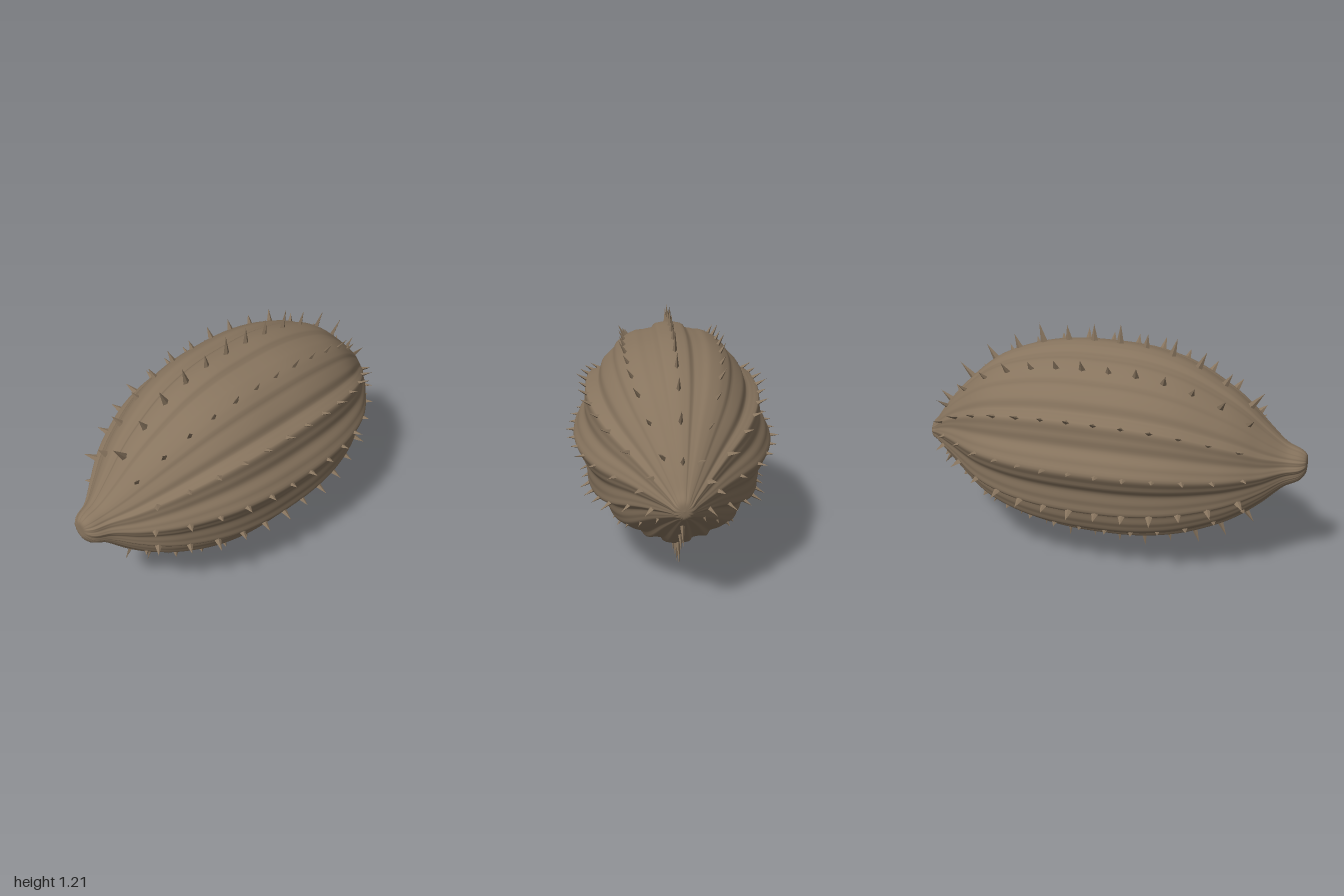
import * as THREE from 'three';

const AROUND = 240, ALONG = 90;
const { degToRad, lerp } = THREE.MathUtils;

// Long section of the pod: x, top of the rib, bottom of the rib
const section = new THREE.CatmullRomCurve3([
  [-1, 0.59, 0.59], [-0.997, 0.64, 0.545], [-0.97, 0.665, 0.505], [-0.9, 0.695, 0.465], [-0.8, 0.78, 0.37],
  [-0.7, 0.875, 0.29], [-0.6, 0.95, 0.23], [-0.4, 1.06, 0.15], [-0.2, 1.115, 0.11], [0, 1.13, 0.1],
  [0.2, 1.125, 0.107], [0.4, 1.085, 0.14], [0.6, 1.0, 0.215], [0.8, 0.825, 0.36], [0.9, 0.71, 0.435],
  [0.96, 0.625, 0.48], [0.993, 0.585, 0.5], [1, 0.54, 0.54],
].map((p) => new THREE.Vector3(...p)));

// Cross-section from the bottom rib to the top rib: degrees above the side, relative radius
const ribs = [
  [-90, 0.99], [-82, 0.98], [-78.5, 0.93], [-74, 0.935], [-69, 0.965], [-65, 0.92], [-56, 0.945], [-48, 0.96],
  [-43, 0.93], [-35, 0.885], [-31, 0.92], [-28, 0.965], [-22, 0.93], [-14, 0.9], [-7, 0.945], [0, 0.99],
  [6, 0.95], [14, 0.9], [21, 0.93], [28, 0.97], [31, 0.93], [35, 0.89], [42, 0.925], [51, 0.925],
  [55, 0.955], [61, 0.965], [68, 0.965], [74, 0.945], [79, 0.94], [82, 0.98], [90, 0.99],
];

function ribRadius(a) {
  const deg = THREE.MathUtils.radToDeg(Math.asin(Math.sin(a)));
  const i = Math.max(1, ribs.findIndex((p) => p[0] >= deg - 1e-6));
  const [d0, r0] = ribs[i - 1], [d1, r1] = ribs[i];
  return lerp(r0, r1, THREE.MathUtils.smoothstep(deg, d0, d1));
}

// Point on the skin: u runs along the pod, a is the angle round it
function skin(u, a) {
  const s = section.getPoint(u);
  const k = (s.y - s.z) / 2 * ribRadius(a);
  return new THREE.Vector3(s.x, (s.y + s.z) / 2 + k * Math.sin(a), k * 0.965 * Math.cos(a));
}

// Curve parameter at a given x
function paramAt(x) {
  let lo = 0, hi = 1;
  for (let i = 0; i < 24; i++) {
    const mid = (lo + hi) / 2;
    if (section.getPoint(mid).x < x) lo = mid; else hi = mid;
  }
  return lo;
}

function podGeometry() {
  const pos = [], index = [];
  for (let i = 0; i <= ALONG; i++) {
    for (let j = 0; j < AROUND; j++) pos.push(...skin(i / ALONG, j / AROUND * Math.PI * 2));
  }
  for (let i = 0; i < ALONG; i++) {
    for (let j = 0; j < AROUND; j++) {
      const a = i * AROUND + j, b = i * AROUND + (j + 1) % AROUND;
      const c = a + AROUND, d = b + AROUND;
      index.push(a, c, b, c, d, b);
    }
  }
  const g = new THREE.BufferGeometry();
  g.setAttribute('position', new THREE.Float32BufferAttribute(pos, 3));
  g.setIndex(index);
  g.computeVertexNormals();
  return g;
}

export function createModel() {
  const model = new THREE.Group();
  model.name = 'spinyPod';
  const husk = new THREE.MeshStandardMaterial({ color: 0x87745e });
  husk.name = 'brown husk';

  const body = new THREE.Mesh(podGeometry(), husk);
  body.name = 'ribbedBody';
  model.add(body);

  const thorn = new THREE.ConeGeometry(0.024, 1, 4, 1, true).toNonIndexed();
  thorn.translate(0, 0.5, 0);
  thorn.computeVertexNormals();

  // One row of thorns along a rib crest
  function addRow(degrees, length, shift) {
    const a = degToRad(degrees);
    const row = new THREE.Group();
    row.name = 'thornRow';
    for (let n = 0; n < 13; n++) {
      const u = paramAt(-0.74 + n * 0.133 + shift);
      const along = skin(u + 0.01, a).sub(skin(u - 0.01, a)).normalize();
      const outward = new THREE.Vector3(0, Math.sin(a), Math.cos(a));
      const normal = outward.addScaledVector(along, -outward.dot(along)).normalize();
      const across = along.clone().cross(normal);
      const m = new THREE.Mesh(thorn, husk);
      m.name = 'thorn';
      const size = 0.85 + 0.15 * Math.sin(n * 2.3 + degrees);
      m.scale.set(0.9, length * size + 0.015, 0.5);
      m.quaternion.setFromRotationMatrix(new THREE.Matrix4().makeBasis(along, normal, across));
      m.position.copy(skin(u, a)).addScaledVector(normal, -0.015);
      row.add(m);
    }
    model.add(row);
  }

  // Longest thorns on the top and bottom ribs, the others mirrored front to back
  addRow(90, 0.1, 0.03);
  addRow(-90, 0.105, 0.03);
  for (const [degrees, length, shift] of [[61, 0.065, 0], [28, 0.06, 0.02], [0, 0.045, -0.01], [-28, 0.06, 0.015], [-50, 0.025, 0]]) {
    addRow(degrees, length, shift);
    addRow(180 - degrees, length, shift + 0.02);
  }
  return model;
}
